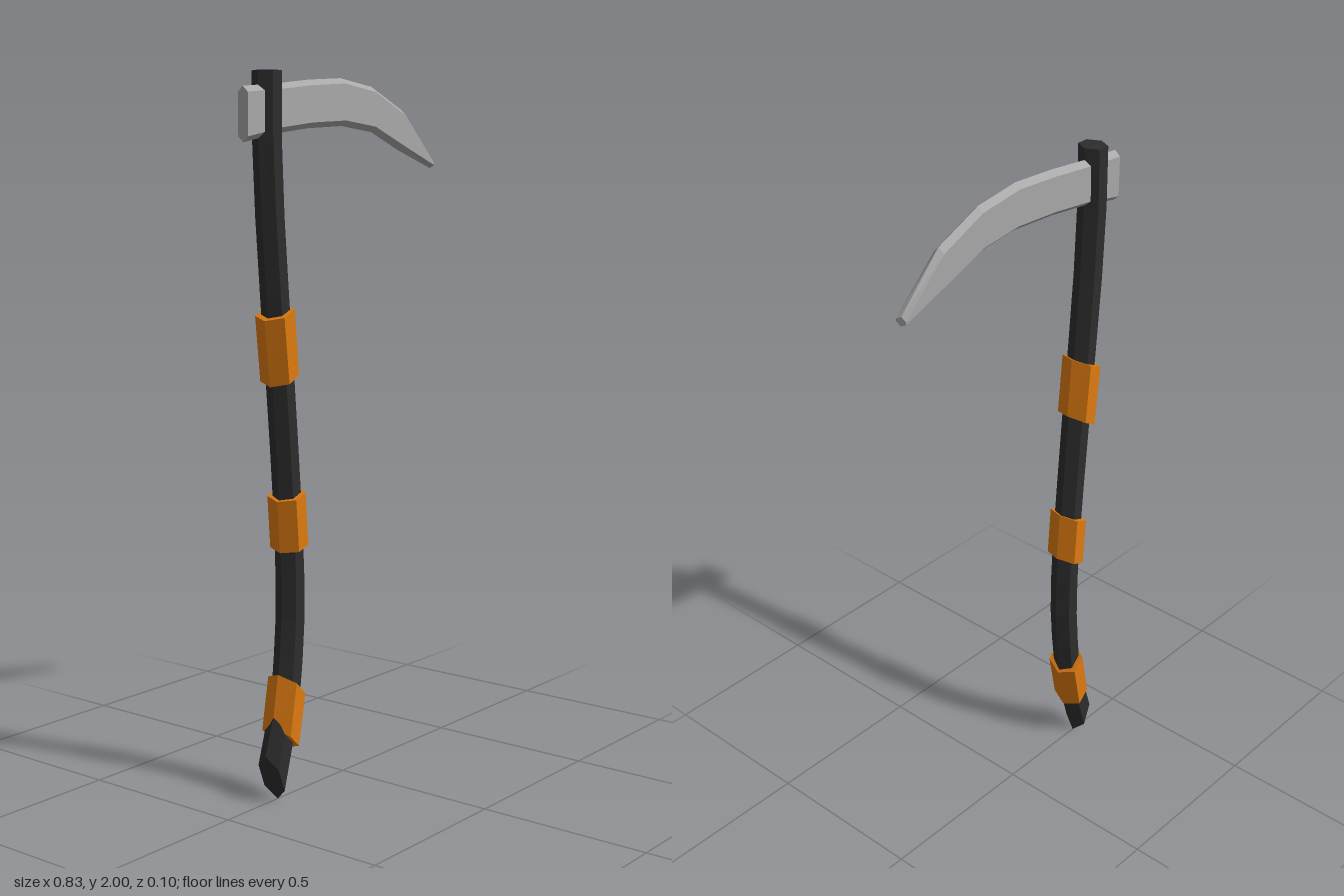
import * as THREE from 'three';

const darkWood = new THREE.MeshStandardMaterial({ color: 0x2d2d2d, flatShading: true });
const orangeWrap = new THREE.MeshStandardMaterial({ color: 0xdd7a10, flatShading: true });
const steel = new THREE.MeshStandardMaterial({ color: 0xa8a8a8, flatShading: true });

// Hexagonal section between the edge points A and B (in the xy plane), halfWidth deep in z.
// bevel(length) gives the fraction of A-B taken by each slanted side.
function section([ax, ay, bx, by], halfWidth, bevel) {
  const t = bevel(Math.hypot(bx - ax, by - ay));
  const at = (f, z) => [ax + (bx - ax) * f, ay + (by - ay) * f, z];
  return [at(0, 0), at(t, halfWidth), at(1 - t, halfWidth),
    at(1, 0), at(1 - t, -halfWidth), at(t, -halfWidth)];
}

// Closed, flat-shaded skin over a row of hexagonal sections.
function loft(name, material, rows, halfWidth, bevel) {
  const rings = rows.map((row) => section(row, halfWidth, bevel));
  const positions = [];
  const tri = (a, b, c) => positions.push(...a, ...b, ...c);
  for (let i = 0; i < rings.length - 1; i++) {
    const p = rings[i], q = rings[i + 1];
    for (let j = 0; j < 6; j++) {
      const k = (j + 1) % 6;
      tri(p[j], p[k], q[k]);
      tri(p[j], q[k], q[j]);
    }
  }
  const first = rings[0], last = rings[rings.length - 1];
  for (let j = 1; j < 5; j++) {
    tri(first[0], first[j + 1], first[j]);
    tri(last[0], last[j], last[j + 1]);
  }
  const geometry = new THREE.BufferGeometry();
  geometry.setAttribute('position', new THREE.Float32BufferAttribute(positions, 3));
  geometry.computeVertexNormals();
  const mesh = new THREE.Mesh(geometry, material);
  mesh.name = name;
  return mesh;
}

export function createModel() {
  const group = new THREE.Group();
  group.name = 'scythe';
  const quarter = () => 0.25;

  // Bent handle, bottom to top: left edge x, y, right edge x, y
  group.add(loft('handle', darkWood, [
    [-0.344, 0.135, -0.294, 0.0],
    [-0.293, 0.29, -0.226, 0.25],
    [-0.281, 0.41, -0.208, 0.39],
    [-0.273, 0.51, -0.199, 0.51],
    [-0.272, 0.63, -0.2, 0.64],
    [-0.276, 0.78, -0.208, 0.79],
    [-0.291, 0.99, -0.225, 1.0],
    [-0.309, 1.2, -0.242, 1.21],
    [-0.327, 1.4, -0.261, 1.41],
    [-0.345, 1.62, -0.278, 1.62],
    [-0.356, 1.83, -0.287, 1.83],
    [-0.356, 2.0, -0.284, 2.0],
  ], 0.037, quarter));

  // Slanted grip bands, each from lower to upper rim
  const bands = [
    ['lowerBand', [-0.315, 0.209, -0.244, 0.138], [-0.289, 0.357, -0.214, 0.283]],
    ['middleBand', [-0.278, 0.7, -0.198, 0.728], [-0.289, 0.845, -0.209, 0.877]],
    ['upperBand', [-0.315, 1.163, -0.235, 1.205], [-0.336, 1.343, -0.25, 1.383]],
  ];
  for (const [name, low, high] of bands) {
    group.add(loft(name, orangeWrap, [low, high], 0.052, quarter));
  }

  // Curved blade, butt to tip: top edge x, y, bottom edge x, y
  group.add(loft('blade', steel, [
    [-0.415, 1.957, -0.415, 1.813],
    [-0.28, 1.968, -0.28, 1.838],
    [-0.15, 1.982, -0.15, 1.853],
    [-0.01, 1.991, -0.005, 1.861],
    [0.13, 1.972, 0.13, 1.846],
    [0.275, 1.91, 0.255, 1.797],
    [0.412, 1.77, 0.415, 1.745],
  ], 0.017, (length) => Math.min(0.35, 0.015 / length)));

  return group;
}
